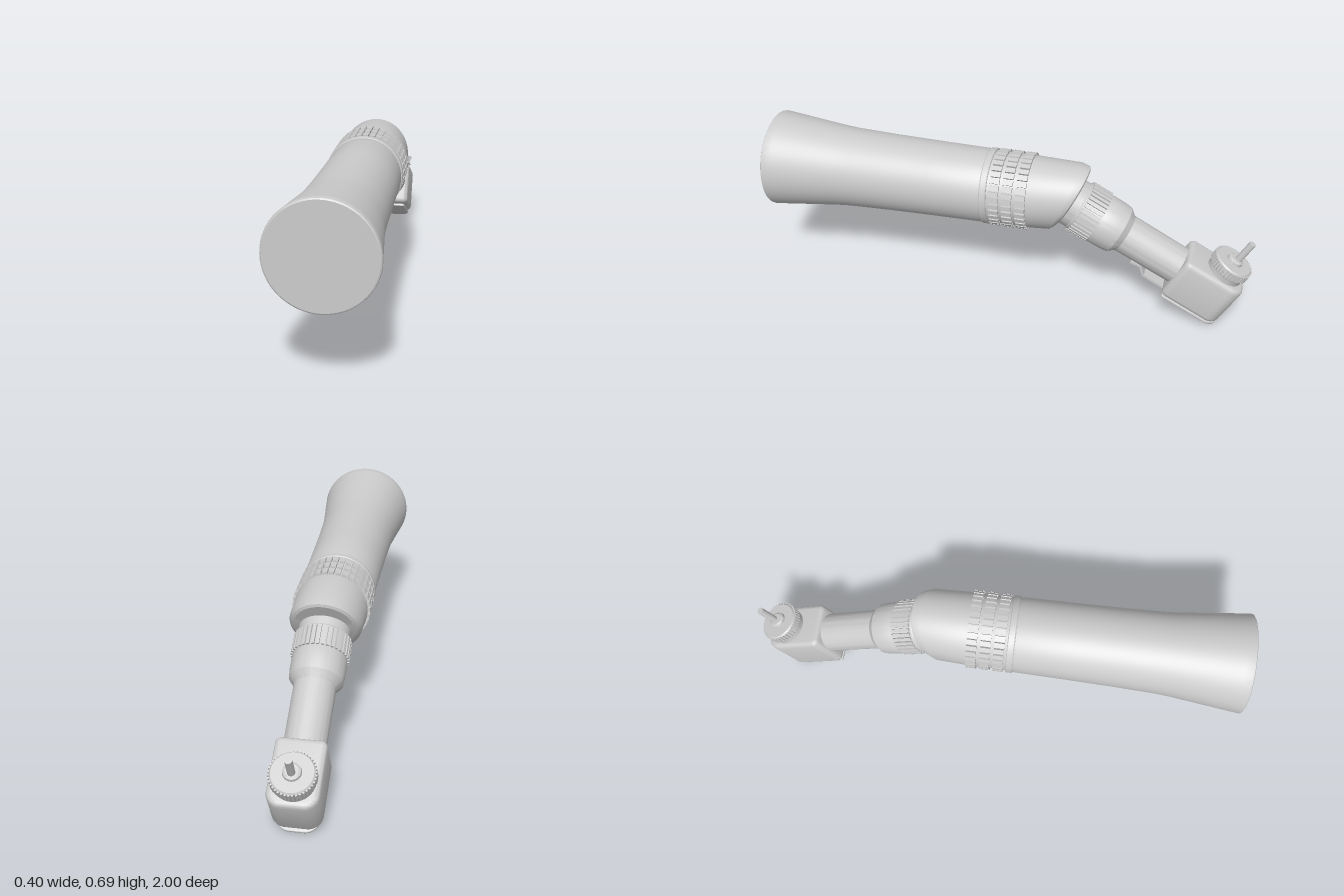
import * as THREE from 'three';
import { mergeGeometries, toCreasedNormals } from 'three/addons/utils/BufferGeometryUtils.js';

const material = new THREE.MeshStandardMaterial({ color: 0xcccccc });

function add(parent, name, geometry, x = 0, y = 0, z = 0) {
  const mesh = new THREE.Mesh(geometry, material);
  mesh.name = name;
  mesh.position.set(x, y, z);
  parent.add(mesh);
  return mesh;
}

// Turned part along z; profile is [radius, z] with z increasing
function turned(profile, segments = 64) {
  const pts = profile.map(([r, z]) => new THREE.Vector2(r, z));
  return new THREE.LatheGeometry(pts, segments).rotateX(Math.PI / 2);
}

const crease = (g) => toCreasedNormals(g, 0.5);

// Ring of raised grip blocks around the z axis
function gripRing(radius, height, length, count, fill, z = 0) {
  const blocks = [];
  const width = (2 * Math.PI * radius / count) * fill;
  for (let i = 0; i < count; i++) {
    const block = new THREE.BoxGeometry(width, height * 2, length);
    block.translate(0, radius, z).rotateZ((i / count) * Math.PI * 2);
    blocks.push(block);
  }
  return mergeGeometries(blocks);
}

// Outline in x and distance along the neck, with separate near and far corner radii
function plan(halfWidth, near, far, rNear, rFar) {
  const s = new THREE.Shape();
  s.moveTo(-halfWidth + rNear, near);
  s.lineTo(halfWidth - rNear, near);
  s.absarc(halfWidth - rNear, near + rNear, rNear, -Math.PI / 2, 0);
  s.absarc(halfWidth - rFar, far - rFar, rFar, 0, Math.PI / 2);
  s.absarc(-halfWidth + rFar, far - rFar, rFar, Math.PI / 2, Math.PI);
  s.absarc(-halfWidth + rNear, near + rNear, rNear, Math.PI, Math.PI * 1.5);
  return s;
}

// Plan outline raised from y0 to y1 with a rounded rim
function slab(shape, y0, y1, bevel) {
  const g = new THREE.ExtrudeGeometry(shape, {
    depth: y1 - y0 - 2 * bevel, bevelThickness: bevel, bevelSize: bevel,
    bevelOffset: -bevel, bevelSegments: 4, curveSegments: 10,
  });
  return crease(g.rotateX(-Math.PI / 2).translate(0, y0 + bevel, 0));
}

function createHandle() {
  const handle = new THREE.Group();
  handle.name = 'handle';
  handle.position.y = 0.493;

  // Flared sleeve whose back end is sheared to meet the bent neck
  const sleeve = turned([
    [0, -0.262], [0.118, -0.262], [0.13, -0.255], [0.141, -0.232], [0.146, -0.11], [0.146, 0.055],
    [0.148, 0.06], [0.148, 0.09], [0.151, 0.1], [0.154, 0.3], [0.158, 0.5], [0.162, 0.62],
    [0.164, 0.67], [0.168, 0.72], [0.195, 0.96], [0.1985, 0.99], [0.197, 0.997], [0.192, 1], [0, 1],
  ]);
  const p = sleeve.attributes.position;
  for (let i = 0; i < p.count; i++) {
    if (p.getZ(i) > -0.2) continue;
    const slope = Math.hypot(p.getX(i), p.getY(i)) > 0.135 ? 0.41 : 0.53;
    p.setZ(i, p.getZ(i) - slope * p.getY(i));
  }
  add(handle, 'sleeve', crease(sleeve));

  add(handle, 'sleeveBand', crease(turned([
    [0.14, 0.06], [0.152, 0.06], [0.155, 0.063], [0.155, 0.085], [0.152, 0.089], [0.14, 0.089],
  ])));

  // Three rows of raised grip blocks
  for (const z of [-0.078, -0.024, 0.03]) {
    add(handle, 'gripRow', gripRing(0.146, 0.01, 0.04, 36, 0.78, z));
  }
  return handle;
}

function createNeck() {
  const neck = new THREE.Group();
  neck.name = 'neck';
  const profile = [
    [0, -0.03], [0.1, -0.03], [0.1, 0.035], [0.104, 0.04], [0.104, 0.135], [0.106, 0.14], [0.105, 0.2],
    [0.102, 0.228], [0.083, 0.252], [0.08, 0.256], [0.078, 0.56], [0, 0.56],
  ];
  add(neck, 'neckTube', crease(turned(profile.map(([r, s]) => [r, -s]).reverse())));
  add(neck, 'neckGrip', gripRing(0.103, 0.009, 0.085, 36, 0.65, -0.088));
  return neck;
}

function createHead() {
  const head = new THREE.Group();
  head.name = 'head';
  add(head, 'headBlock', slab(plan(0.094, 0.508, 0.772, 0.025, 0.055), -0.108, 0.09, 0.02));

  // Round cap with a toothed rim, a collar and the bit
  const cap = new THREE.Group();
  cap.name = 'cap';
  cap.position.set(0, 0, -0.676);
  head.add(cap);
  const capPoints = [
    [0, 0.07], [0.078, 0.07], [0.076, 0.108], [0.078, 0.115], [0.08, 0.118], [0.08, 0.151],
    [0.075, 0.157], [0.034, 0.157], [0.032, 0.168], [0.024, 0.173], [0, 0.173],
  ].map(([r, y]) => new THREE.Vector2(r, y));
  add(cap, 'capBody', crease(new THREE.LatheGeometry(capPoints, 48)));
  add(cap, 'capTeeth', gripRing(0.079, 0.006, 0.033, 40, 0.6).rotateX(Math.PI / 2), 0, 0.135, 0);
  add(cap, 'bit', new THREE.CylinderGeometry(0.014, 0.014, 0.115, 24), 0, 0.208, -0.008);
  return head;
}

function createClip() {
  const clip = new THREE.Group();
  clip.name = 'clip';
  add(clip, 'clipPlate', slab(plan(0.081, 0.52, 0.776, 0.008, 0.055), -0.125, -0.113, 0.004));

  // Narrow spring tongue stepped up at its free end
  const s = new THREE.Shape();
  [[0.345, -0.096], [0.388, -0.091], [0.42, -0.121], [0.54, -0.123], [0.54, -0.114], [0.424, -0.112],
    [0.392, -0.081], [0.345, -0.087]].forEach(([a, b], i) => (i ? s.lineTo(a, b) : s.moveTo(a, b)));
  const tongue = new THREE.ExtrudeGeometry(s, { depth: 0.052, bevelEnabled: false });
  add(clip, 'clipTongue', tongue.translate(0, 0, -0.026).rotateY(Math.PI / 2));
  return clip;
}

export function createModel() {
  const model = new THREE.Group();
  model.name = 'angledHandpiece';
  model.add(createHandle());

  // Everything past the bend shares one tilted frame
  const bend = new THREE.Group();
  bend.name = 'angledEnd';
  bend.position.set(0, 0.475, -0.253);
  bend.rotation.x = THREE.MathUtils.degToRad(-28);
  bend.add(createNeck(), createHead(), createClip());
  model.add(bend);
  return model;
}
